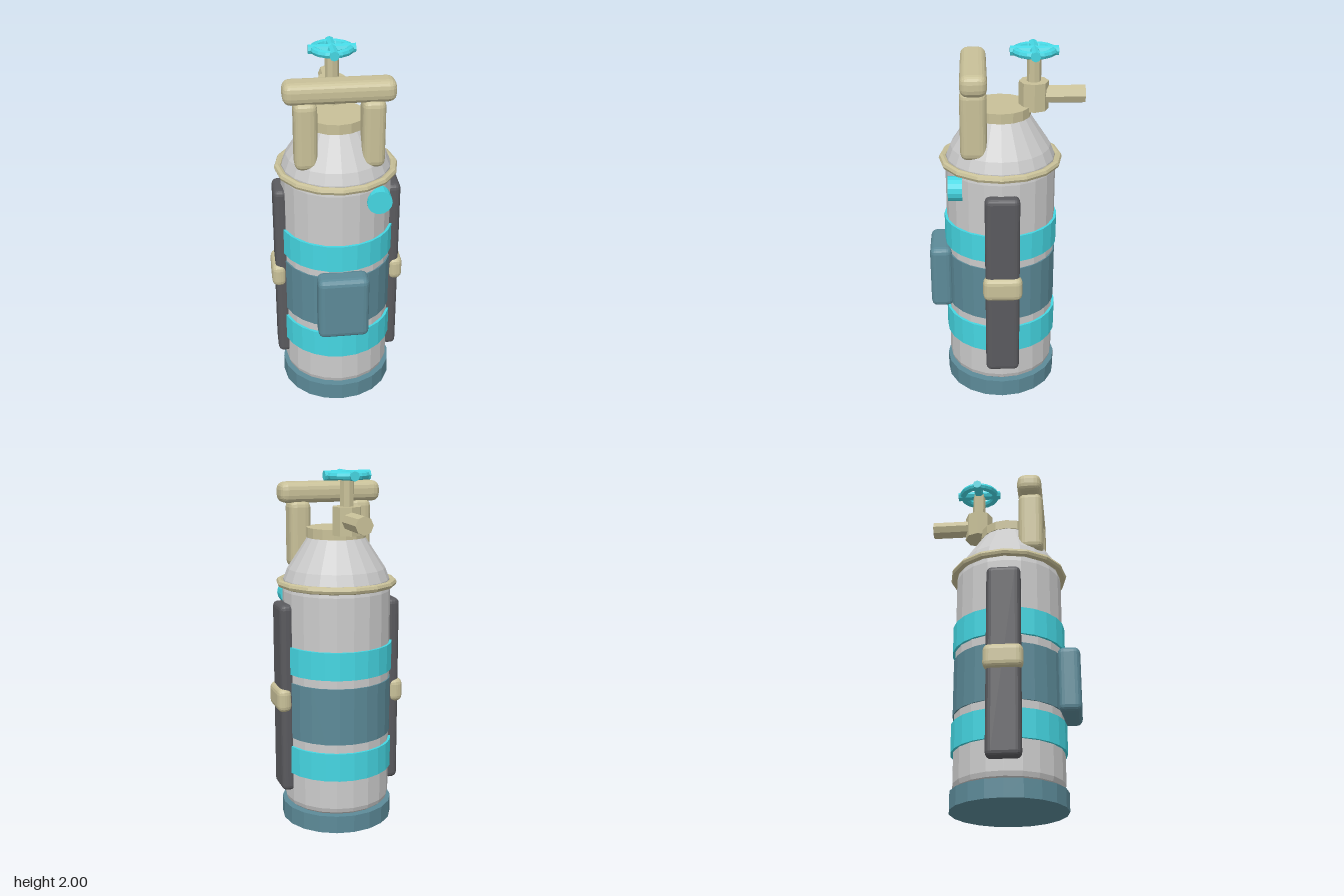
import * as THREE from 'three';
import { RoundedBoxGeometry } from 'three/addons/geometries/RoundedBoxGeometry.js';

const mat = (color) => new THREE.MeshStandardMaterial({ color, flatShading: true });

export function createModel() {
  const root = new THREE.Group();
  const metal = mat(0xcccccc), cyan = mat(0x45d6e2), slate = mat(0x5c8a98);
  const tan = mat(0xc8c098), dark = mat(0x5a5a5e);
  const CZ = 0.025; // tank axis
  const VZ = -0.153; // valve axis

  const add = (name, geo, material, x = 0, y = 0, z = 0) => {
    const m = new THREE.Mesh(geo, material);
    m.name = name;
    m.position.set(x, y, z);
    root.add(m);
    return m;
  };
  const lathe = (pts, seg, start, len) =>
    new THREE.LatheGeometry(pts.map(([r, y]) => new THREE.Vector2(r, y)), seg, start, len);
  // Rounded block given by its extents
  const block = (name, material, [x0, x1], [y0, y1], [z0, z1], r) =>
    add(name, new RoundedBoxGeometry(x1 - x0, y1 - y0, z1 - z0, 2, r), material,
      (x0 + x1) / 2, (y0 + y1) / 2, (z0 + z1) / 2);
  // Upright cylinder from y0 to y1
  const post = (name, material, r, y0, y1, z, seg) =>
    add(name, new THREE.CylinderGeometry(r, r, y1 - y0, seg), material, 0, (y0 + y1) / 2, z);

  // Tank with conical shoulder
  post('base', slate, 0.317, 0, 0.1, CZ, 20);
  add('tank', lathe([[0, 0.1], [0.275, 0.1], [0.294, 0.115], [0.302, 0.14], [0.302, 1.34], [0.296, 1.37],
    [0.296, 1.4], [0.272, 1.46], [0.157, 1.635], [0, 1.635]], 20), metal, 0, 0, CZ);
  post('neckCap', tan, 0.165, 1.63, 1.685, CZ, 16);
  const collar = add('collarRing', new THREE.TorusGeometry(0.316, 0.021, 8, 16), tan, 0, 1.382, CZ);
  collar.rotation.x = Math.PI / 2;

  // Bands: a front and a back arc, interrupted by the side rails
  const bands = [[0.31, 0.47, 0.315, cyan], [0.52, 0.84, 0.308, slate], [0.89, 1.045, 0.315, cyan]];
  for (const [y0, y1, r, material] of bands) {
    for (const mid of [0, Math.PI]) {
      const half = 1.29;
      const section = [[0.29, y0], [r, y0], [r, y1], [0.29, y1], [0.29, y0]];
      add('band', lathe(section, 10, mid - half, half * 2), material, 0, 0, CZ);
    }
  }

  // Side rails, clips and handle posts
  for (const s of [-1, 1]) {
    const span = (a, b) => (s > 0 ? [a, b] : [-b, -a]);
    block('sideRail', dark, span(0.27, 0.35), [0.2, 1.28], [-0.07, 0.117], 0.03);
    block('railClip', tan, span(0.29, 0.372), [0.672, 0.81], [-0.085, 0.13], 0.035);
    block('handlePost', tan, span(0.115, 0.237), [1.45, 1.825], [0.1, 0.24], 0.038);
  }
  block('handleBar', tan, [-0.29, 0.29], [1.81, 1.925], [0.097, 0.237], 0.042);

  // Front pouch and round gauge
  block('frontPouch', slate, [-0.14, 0.14], [0.505, 0.88], [0.3, 0.425], 0.035);
  const gauge = add('gauge', new THREE.CylinderGeometry(0.067, 0.067, 0.075, 16), cyan, 0.2, 1.285, 0.272);
  gauge.rotation.x = Math.PI / 2;

  // Valve with rear outlet
  post('valveBody', tan, 0.08, 1.66, 1.812, VZ, 8);
  post('valveStem', tan, 0.038, 1.8, 1.97, VZ, 8);
  const outlet = add('valveOutlet', new THREE.CylinderGeometry(0.049, 0.049, 0.275, 8), tan, 0, 1.737, -0.2875);
  outlet.rotation.x = Math.PI / 2;

  // Handwheel
  const rim = add('handwheelRim', new THREE.TorusGeometry(0.099, 0.021, 8, 16), cyan, 0, 1.974, VZ);
  rim.rotation.x = Math.PI / 2;
  for (const a of [0, 1]) {
    const spoke = add('handwheelSpoke', new THREE.CylinderGeometry(0.026, 0.026, 0.254, 8), cyan, 0, 1.974, VZ);
    if (a) spoke.rotation.x = Math.PI / 2;
    else spoke.rotation.z = Math.PI / 2;
  }
  return root;
}
